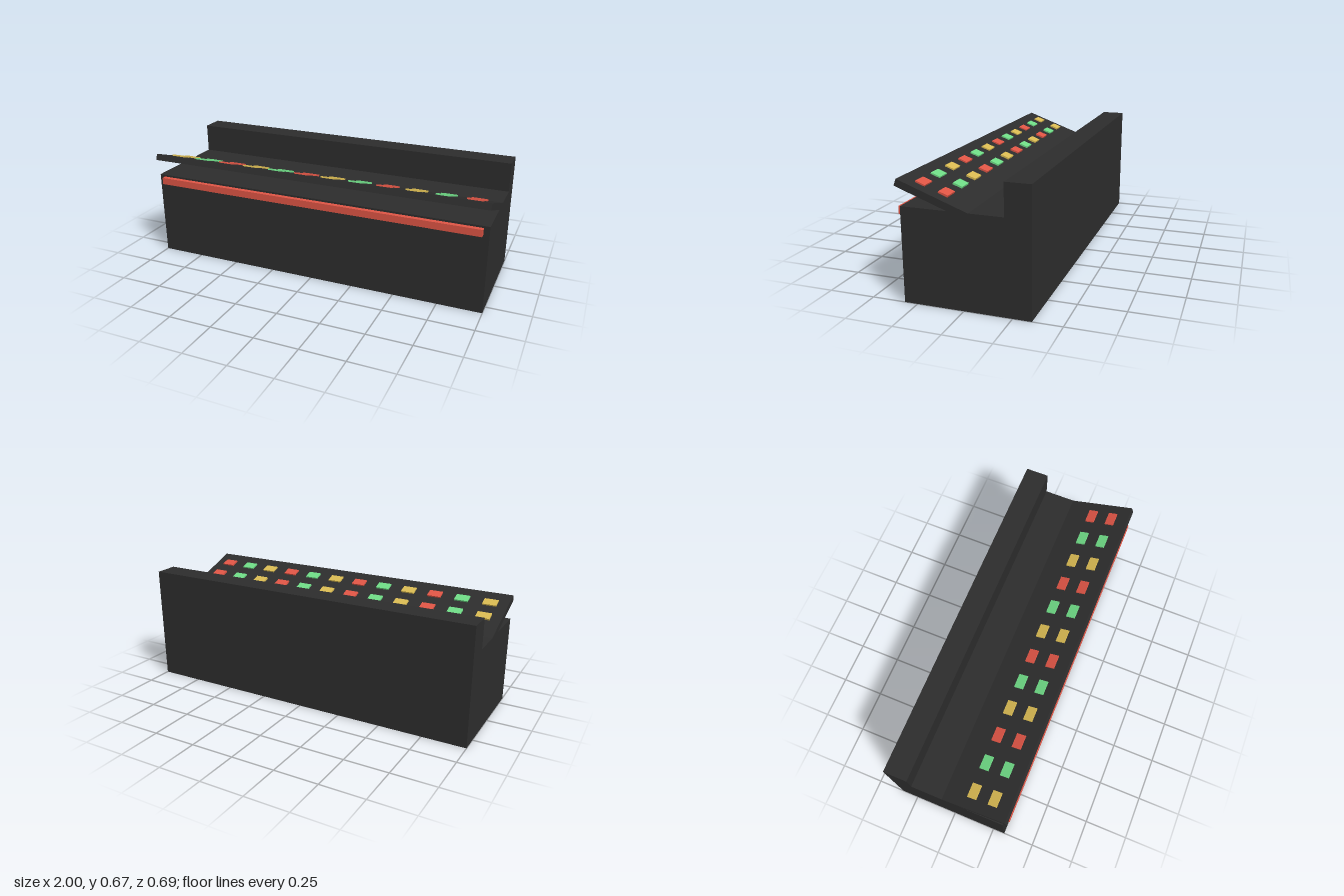
import * as THREE from 'three';

const mat = (name, color) => new THREE.MeshStandardMaterial({ name, color });

export function createModel() {
  const charcoal = mat('charcoal', 0x2d2d2d);
  const red = mat('red', 0xe05545);
  const yellow = mat('yellow', 0xdabb52);
  const green = mat('green', 0x6fdc86);

  const model = new THREE.Group();
  model.name = 'console';

  const box = (parent, name, w, h, d, x, y, z, material) => {
    const mesh = new THREE.Mesh(new THREE.BoxGeometry(w, h, d), material);
    mesh.name = name;
    mesh.position.set(x, y, z);
    parent.add(mesh);
    return mesh;
  };

  // Desk body with raised back ledge: side profile (z, y) extruded across the width
  const profile = new THREE.Shape([
    [-0.347, 0], [0.32, 0], [0.32, 0.5], [-0.213, 0.5], [-0.213, 0.668], [-0.347, 0.668],
  ].map(([z, y]) => new THREE.Vector2(-z, y)));
  const bodyGeometry = new THREE.ExtrudeGeometry(profile, { depth: 2, bevelEnabled: false });
  bodyGeometry.translate(0, 0, -1).rotateY(Math.PI / 2);
  const body = new THREE.Mesh(bodyGeometry, charcoal);
  body.name = 'body';
  model.add(body);

  // Trim strip along the front edge
  box(model, 'frontStrip', 1.935, 0.04, 0.027, 0, 0.469, 0.3335, red);

  // Tilted control panel, hung from its upper front edge
  const panel = new THREE.Group();
  panel.name = 'controlPanel';
  panel.position.set(0, 0.634, 0.335);
  panel.rotation.x = -Math.PI / 9;
  model.add(panel);
  box(panel, 'panelBoard', 2, 0.037, 0.42, 0, -0.0185, -0.21, charcoal);

  // Two rows of twelve buttons in repeating colours
  const colours = [yellow, green, red];
  const rows = [{ z: -0.227, h: 0.01 }, { z: -0.1, h: 0.008 }];
  for (const { z, h } of rows) {
    for (let i = 0; i < 12; i++) {
      const x = -0.9 + (i * 1.8) / 11;
      box(panel, 'button', 0.08, h, 0.053, x, h / 2, z, colours[i % 3]);
    }
  }
  return model;
}
